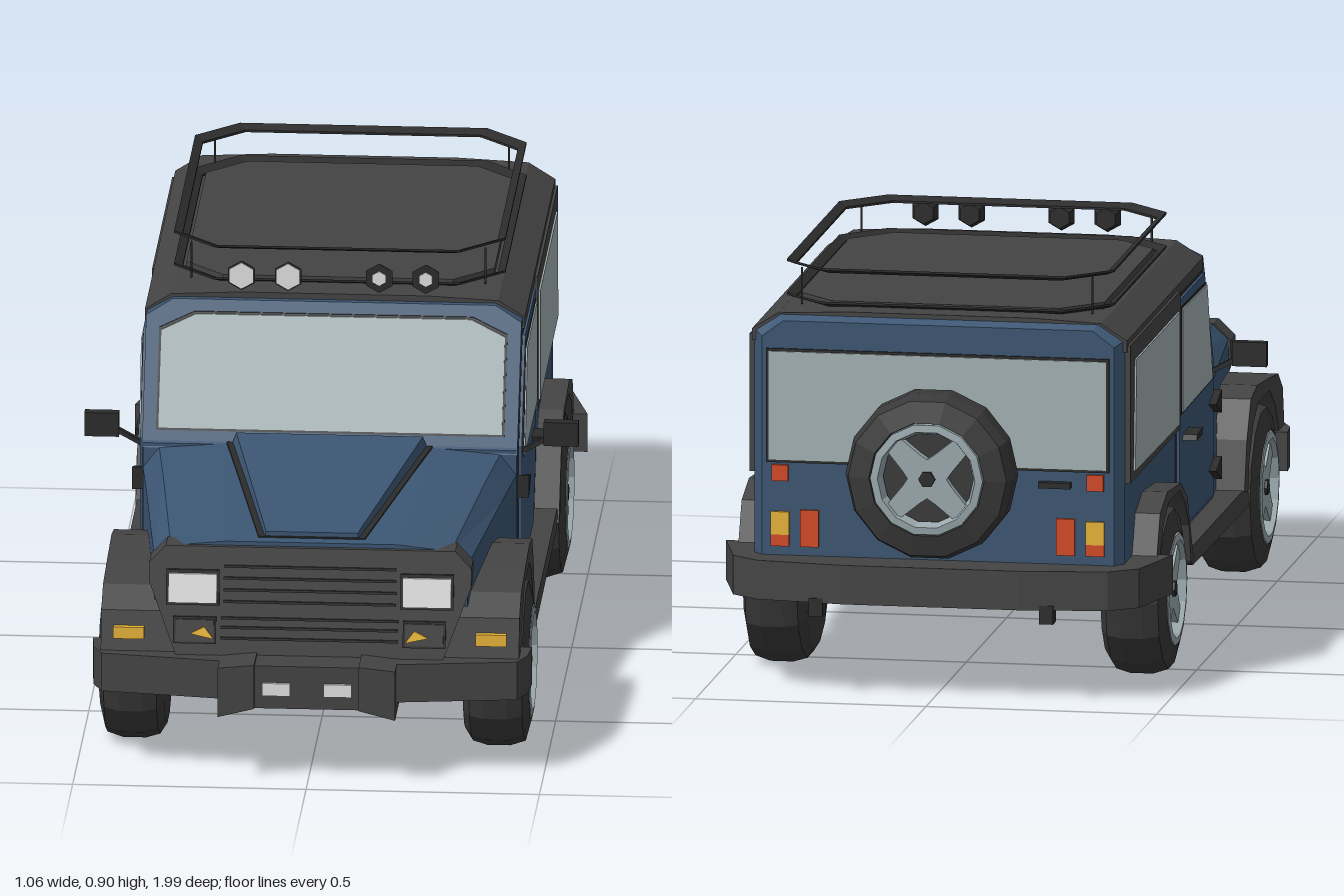
import * as THREE from 'three';

const mat = (name, color) => Object.assign(new THREE.MeshStandardMaterial({ color }), { name });

export function createModel() {
  const car = new THREE.Group();
  car.name = 'offRoader';
  const blue = mat('bodyBlue', 0x3c5673), grey = mat('trimGrey', 0x444444), dark = mat('darkTrim', 0x2c2c2c);
  const rubber = mat('tyreRubber', 0x393939), glass = mat('glass', 0xa4b1b4), silver = mat('rimSilver', 0x9aa9ae);
  const white = mat('lampWhite', 0xe2e2e2), amber = mat('amber', 0xeeb93a), red = mat('red', 0xd24a24);

  // Adds a faceted mesh
  const add = (name, geo, material, parent = car) => {
    const g = geo.index ? geo.toNonIndexed() : geo;
    g.computeVertexNormals();
    const m = new THREE.Mesh(g, material);
    m.name = name;
    parent.add(m);
    return m;
  };
  const shape = pts => new THREE.Shape(pts.map(p => new THREE.Vector2(p[0], p[1])));
  const extrude = (s, depth) => new THREE.ExtrudeGeometry(s, { depth, bevelEnabled: false });
  // Outline in (z, y), from x0 to x1
  const side = (pts, x0, x1) =>
    extrude(shape(pts.map(([z, y]) => [-z, y])), x1 - x0).rotateY(Math.PI / 2).translate(x0, 0, 0);
  // Outline in (x, z), from y0 to y1
  const plan = (pts, y0, y1) =>
    extrude(shape(pts.map(([x, z]) => [x, -z])), y1 - y0).rotateX(-Math.PI / 2).translate(0, y0, 0);
  const box = (x0, x1, y0, y1, z0, z1) =>
    new THREE.BoxGeometry(x1 - x0, y1 - y0, z1 - z0).translate((x0 + x1) / 2, (y0 + y1) / 2, (z0 + z1) / 2);
  const mirror = half => [...half, ...half.slice().reverse().map(([x, y]) => [-x, y])];
  const rect = (a, b, c, d) => [[a, c], [b, c], [b, d], [a, d]];
  const bothSides = (name, pts, x0, x1, m) => {
    add(name + 'Left', side(pts, x0, x1), m);
    add(name + 'Right', side(pts, -x1, -x0), m);
  };
  // Skin through symmetric half sections [z, [[x, y]...]] in ascending z
  const loft = secs => {
    const rings = secs.map(([z, half]) => mirror(half).map(([x, y]) => [x, y, z]));
    const n = rings[0].length, v = [];
    for (let i = 0; i + 1 < rings.length; i++) for (let j = 0; j < n; j++) {
      const k = (j + 1) % n, a = rings[i][j], b = rings[i][k], c = rings[i + 1][k], d = rings[i + 1][j];
      v.push(...a, ...b, ...c, ...a, ...c, ...d);
    }
    const first = rings[0], last = rings[rings.length - 1];
    for (let j = 1; j + 1 < n; j++)
      v.push(...last[0], ...last[j], ...last[j + 1], ...first[0], ...first[j + 1], ...first[j]);
    return new THREE.BufferGeometry().setAttribute('position', new THREE.Float32BufferAttribute(v, 3));
  };
  // Moves vertices in z as a function of height
  const shear = (geo, f) => {
    const p = geo.attributes.position;
    for (let i = 0; i < p.count; i++) p.setZ(i, p.getZ(i) + f(p.getY(i)));
    return geo;
  };

  // Body shell, with the rear wheel arches cut out
  const rearArch = [[-.71, .25], [-.70, .28], [-.65, .35], [-.58, .39], [-.45, .39], [-.38, .35], [-.33, .29], [-.31, .21]];
  const frontArch = [[.43, .19], [.45, .28], [.50, .35], [.56, .385], [.70, .385], [.77, .34], [.82, .27]];
  add('cabin', side([[.27, .21], [.27, .54], [.255, .55], [.133, .785], [-.83, .785], [-.83, .25], ...rearArch], -.40, .40), blue);
  add('tailgate', loft([
    [-.852, [[.382, .25], [.382, .775], [.335, .81]]], [-.828, [[.402, .25], [.402, .787], [.347, .823]]]]), blue);
  const bay = (w, low, sh, top) => [[w, low], [w, sh], [w - .035, top], [w * .55, top + .012]];
  add('hood', loft([
    [.27, bay(.40, .21, .485, .53)], [.42, bay(.382, .21, .48, .524)],
    [.43, bay(.381, .38, .48, .524)], [.85, bay(.335, .38, .47, .503)]]), blue);
  add('hoodBulge', loft([[.27, [[.217, .52], [.20, .567]]], [.82, [[.11, .49], [.098, .529]]]]), blue);
  add('hoodSeam', loft([[.27, [[.224, .52], [.22, .546]]], [.824, [[.117, .49], [.114, .519]]]]), dark);
  add('floor', box(-.31, .31, .2, .4, -.83, .84), dark);
  add('floorPan', box(-.40, .40, .195, .215, -.29, .42), dark);
  bothSides('rocker', [[.43, .185], [.43, .215], [.36, .232], [-.27, .232], [-.30, .20], [-.26, .19]], .38, .45, grey);

  // Windscreen, lying on the sloping front plane
  const slope = y => .255 - (y - .55) * .5185;
  const screen = (name, half, front, thick, m) =>
    add(name, shear(extrude(shape(mirror(half)), thick).translate(0, 0, front - thick), slope), m);
  screen('windscreenFrame', [[.402, .53], [.402, .785], [.345, .817]], .006, .03, blue);
  screen('windscreenSeal', [[.373, .565], [.373, .762], [.298, .794]], .009, .008, dark);
  screen('windscreen', [[.368, .57], [.368, .758], [.295, .79]], .012, .008, glass);

  // Hard top
  const roof = [[.407, .762], [.407, .787], [.35, .823], [.2, .83]];
  add('roof', loft([[-.833, roof], [.108, roof]]), grey);
  bothSides('hardtopSide', rect(-.825, -.205, .475, .775), .39, .413, grey);
  bothSides('rearSideWindow', [[-.785, .495], [-.23, .49], [-.23, .735], [-.77, .735]], .41, .417, glass);

  // Doors
  const door = [[.238, .24], [.238, .54], [.125, .758], [-.20, .758], [-.20, .35], [-.135, .24]];
  const inset = [[.231, .247], [.231, .538], [.121, .751], [-.193, .751], [-.193, .352], [-.132, .247]];
  bothSides('doorGap', door, .395, .403, dark);
  bothSides('door', inset, .395, .409, blue);
  bothSides('doorWindowSeal', [[.20, .503], [.128, .73], [-.181, .735], [-.181, .50]], .40, .411, dark);
  bothSides('doorWindow', [[.195, .508], [.125, .725], [-.176, .73], [-.176, .505]], .40, .414, glass);
  bothSides('doorHandle', [[-.155, .44], [-.15, .452], [-.08, .455], [-.085, .44]], .40, .44, dark);
  for (const y of [.45, .305]) bothSides('doorHinge', [[.24, y - .025], [.24, y + .025], [.17, y + .005]], .40, .425, dark);

  // Wheel-arch flares
  bothSides('frontFlare', [[.885, .27], [.865, .36], [.81, .40], [.70, .412], [.55, .425], [.47, .41], [.42, .33], [.38, .19], ...frontArch], .29, .448, grey);
  bothSides('rearFlare', [[-.30, .20], [-.27, .20], [-.35, .355], [-.43, .402], [-.60, .415], [-.69, .385], [-.73, .30], [-.73, .25], ...rearArch], .36, .454, grey);

  // Grille and front lamps
  const lean = y => (.5 - y) * .18;
  const face = (name, pts, z0, z1, m) => add(name, shear(extrude(shape(pts), z1 - z0).translate(0, 0, z0), lean), m);
  face('grille', mirror([[.285, .27], [.345, .43], [.345, .47], [.31, .506]]), .80, .862, grey);
  for (const y of [.465, .44, .415, .39]) face('grilleSlot', rect(-.185, .185, y - .0025, y + .0025), .855, .866, dark);
  for (const y of [.355, .335, .312]) face('lowerSlot', rect(-.19, .19, y - .0025, y + .0025), .855, .866, dark);
  for (const s of [-1, 1]) {
    const r = (a, b, c, d) => rect(Math.min(s * a, s * b), Math.max(s * a, s * b), c, d);
    face('headlampBezel', r(.194, .308, .382, .457), .855, .867, dark);
    face('headlamp', r(.199, .303, .388, .45), .86, .873, white);
    face('indicatorBezel', r(.20, .292, .30, .357), .855, .866, dark);
    face('indicatorRecess', r(.205, .287, .305, .352), .855, .869, grey);
    face('indicator', [[s * .205, .312], [s * .255, .323], [s * .225, .338]], .86, .873, amber);
    add('fenderMarker', box(s * .388 - .033, s * .388 + .033, .302, .328, .86, .886), amber);
    add('bumperLamp', box(s * .066 - .03, s * .066 + .03, .212, .24, .97, .982), white);
    // Bumper winglets, tow hooks and tail lamps
    add('bumperWing', extrude(shape([[s * .19, .165], [s * .112, .185], [s * .112, .283], [s * .19, .275]]), .115).translate(0, 0, .875), grey);
    add('frontTowHook', box(s * .28 - .012, s * .28 + .012, .175, .2, .84, .88), dark);
    add('rearTowHook', box(s * .25 - .015, s * .25 + .015, .185, .225, -.94, -.90), dark);
    add('tailMarker', box(s * .342 - .018, s * .342 + .018, .462, .497, -.859, -.84), red);
    add('tailLamp', box(s * .278 - .02, s * .278 + .02, .32, .40, -.859, -.84), red);
    add('tailIndicator', box(s * .342 - .02, s * .342 + .02, .345, .395, -.859, -.84), amber);
    add('tailReflector', box(s * .342 - .02, s * .342 + .02, .32, .345, -.859, -.84), red);
    // Door mirrors
    add('mirror', box(s * .492 - .037, s * .492 + .037, .535, .588, .197, .22), dark);
    const arm = add('mirrorArm', box(-.04, .04, -.005, .005, -.007, .007), dark);
    arm.position.set(s * .435, .535, .208);
    arm.rotation.z = s * .5;
  }

  // Bumpers
  add('frontBumper', plan(mirror([[.47, .80], [.465, .86], [.445, .905], [.19, .94]]).concat([[-.34, .80], [-.30, .86], [.30, .86], [.34, .80]]), .19, .275), grey);
  add('winchMount', plan(mirror([[.112, .88], [.112, .975]]), .182, .277), grey);
  add('rearBumper', plan([[.485, -.71], [.44, -.875], [.38, -.92], [.19, -.945], [-.19, -.945], [-.38, -.92], [-.44, -.875], [-.485, -.71], [-.40, -.71], [-.40, -.82], [.40, -.82], [.40, -.71]], .215, .30), grey);

  // Rear window and handle
  add('rearWindowSeal', box(-.372, .372, .502, .75, -.856, -.84), dark);
  add('rearWindow', box(-.366, .366, .508, .744, -.859, -.84), glass);
  add('tailgateHandle', box(-.29, -.22, .467, .48, -.87, -.84), dark);

  // Wheels: tyre, rim ring, four-pointed star of spokes and hub
  const lathe = (pts, n) => new THREE.LatheGeometry(pts.map(p => new THREE.Vector2(...p)), n).rotateZ(-Math.PI / 2);
  const wheel = (name, x, y, z, turn) => {
    const g = new THREE.Group();
    g.name = name;
    add('tyre', lathe([[0, -.07], [.15, -.07], [.174, -.055], [.183, -.025], [.183, .025], [.172, .058], [.125, .07], [.12, .04], [0, .04]], 14), rubber, g);
    add('rim', lathe([[.122, .04], [.122, .071], [.106, .073], [.098, .045]], 14), silver, g);
    for (let i = 0; i < 4; i++) {
      const a = Math.PI / 4 + i * Math.PI / 2;
      add('spoke', side([[-.034, .008], [0, -.01], [.034, .008], [.026, .05], [.02, .106], [-.02, .106], [-.026, .05]], .035, .062).rotateX(a), silver, g);
    }
    add('hub', lathe([[.02, .04], [.018, .068], [0, .068]], 6), dark, g);
    g.position.set(x, y, z);
    g.rotation.y = turn;
    car.add(g);
  };
  for (const [end, z] of [['front', .63], ['rear', -.515]]) {
    wheel(end + 'WheelLeft', .39, .188, z, 0);
    wheel(end + 'WheelRight', -.39, .188, z, Math.PI);
  }
  wheel('spareWheel', 0, .502, -.925, Math.PI / 2);

  // Roof rack: raised panel, two flared rails and posts
  const octagon = k => [[.355, .325], [.265, .415], [-.265, .415], [-.355, .325], [-.355, -.325], [-.265, -.415], [.265, -.415], [.355, -.325]]
    .map(([x, z]) => [x * k, z * k]);
  const rail = (name, y) => {
    const s = shape(octagon(1));
    s.holes.push(new THREE.Path(octagon(.95).map(p => new THREE.Vector2(...p))));
    const g = extrude(s, .005).rotateX(-Math.PI / 2), p = g.attributes.position;
    for (let i = 0; i < p.count; i++) {
      const x = Math.abs(p.getX(i)), z = Math.abs(p.getZ(i));
      const m = Math.max(x / .355, z / .415, (x + z) / .68);
      if (m > .98) p.setY(i, p.getY(i) + .009);
    }
    add(name, g.translate(0, y, -.37), dark);
  };
  add('roofPanel', plan(octagon(.93), .82, .838).translate(0, 0, -.37), grey);
  rail('lowerRail', .827);
  rail('upperRail', .90);
  for (const s of [-1, 1]) for (const z of [0, -.735])
    add('rackPost', box(s * .315 - .002, s * .315 + .002, .82, .905, z - .002, z + .002), dark);

  // Roof spotlights
  for (const [x, lens] of [[-.2, .029], [-.1, .029], [.095, .016], [.195, .016]]) {
    add('spotlight', new THREE.CylinderGeometry(.033, .024, .026, 6).rotateX(Math.PI / 2).translate(x, .868, .097), dark);
    add('spotlightLens', new THREE.CylinderGeometry(lens, lens, .006, 6).rotateX(Math.PI / 2).translate(x, .868, .11), white);
  }
  return car;
}
